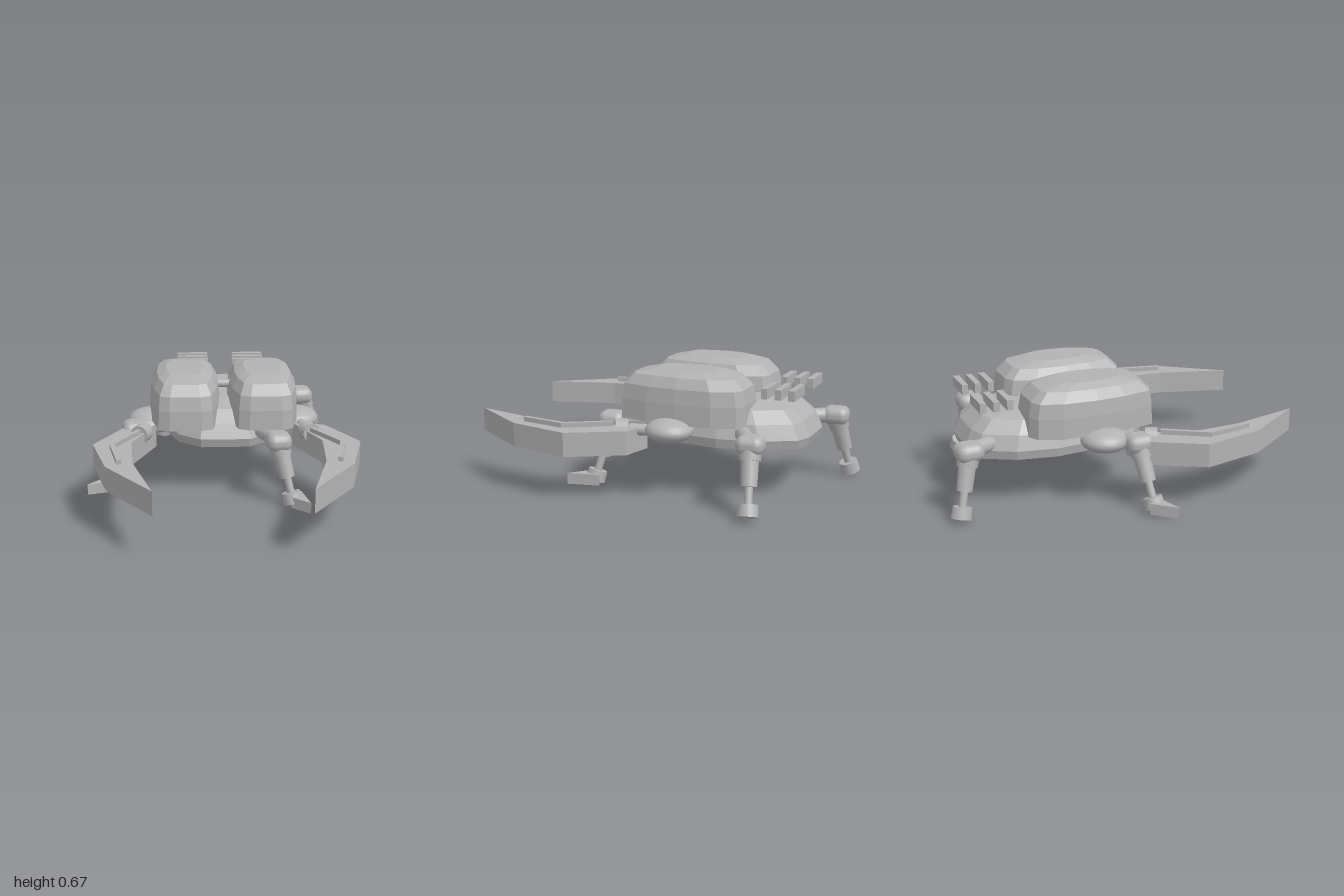
import * as THREE from 'three';
import { RoundedBoxGeometry } from 'three/addons/geometries/RoundedBoxGeometry.js';

const CX = 0.025; // symmetry plane of the hull
const grey = new THREE.MeshStandardMaterial({ color: 0xb2b2b2 });
grey.name = 'plain grey';

const V = (a) => new THREE.Vector3(...a);

function add(parent, name, geometry, x = 0, y = 0, z = 0) {
  const mesh = new THREE.Mesh(geometry, grey);
  mesh.name = name;
  mesh.position.set(x, y, z);
  parent.add(mesh);
  return mesh;
}

// Faceted shell: a mirrored half outline [x, z], stacked in rings [y, scaleX, scaleZ]
function shell(half, rings) {
  const outline = [...half, ...half.map(([x, z]) => [-x, z]).reverse()];
  const n = outline.length, pos = [], idx = [];
  for (const [y, sx, sz] of rings)
    for (const [x, z] of outline) pos.push(x * sx, y, z * sz);
  for (let i = 0; i < rings.length - 1; i++)
    for (let j = 0; j < n; j++) {
      const a = i * n + j, b = i * n + (j + 1) % n;
      idx.push(a, a + n, b + n, a, b + n, b);
    }
  const top = (rings.length - 1) * n;
  for (let j = 1; j < n - 1; j++) idx.push(0, j, j + 1, top, top + j + 1, top + j);
  const g = new THREE.BufferGeometry();
  g.setAttribute('position', new THREE.Float32BufferAttribute(pos, 3));
  g.setIndex(idx);
  const flat = g.toNonIndexed();
  flat.computeVertexNormals();
  return flat;
}

// Plate lying flat: outline [x, z], upper face at y = 0, thickness going down
function plate(points, depth, side = 1) {
  const shape = new THREE.Shape(points.map(([x, z]) => new THREE.Vector2(x * side, z)));
  return new THREE.ExtrudeGeometry(shape, { depth, bevelEnabled: false }).rotateX(Math.PI / 2);
}

// Cylinder from a to b
function rod(parent, name, a, b, r0, r1 = r0) {
  const d = b.clone().sub(a);
  const mesh = add(parent, name, new THREE.CylinderGeometry(r1, r0, d.length(), 20));
  mesh.position.copy(a).addScaledVector(d, 0.5);
  mesh.quaternion.setFromUnitVectors(new THREE.Vector3(0, 1, 0), d.normalize());
  return mesh;
}

function leg(parent, name, hip, knee, foot) {
  const g = new THREE.Group();
  g.name = name;
  const k = V(knee), f = V(foot), at = (t) => k.clone().lerp(f, t);
  rod(g, 'hip', V(hip), k, 0.042);
  const block = add(g, 'knee', new RoundedBoxGeometry(0.14, 0.1, 0.15, 2, 0.045), ...knee);
  block.rotation.y = 0.1;
  rod(g, 'kneeSocket', at(0.02), at(0.25), 0.062, 0.055);
  rod(g, 'shin', at(0.1), at(0.64), 0.048, 0.042);
  rod(g, 'piston', at(0.6), at(0.95), 0.021);
  rod(g, 'foot', at(0.9), at(1.09), 0.052, 0.056);
  parent.add(g);
}

export function createModel() {
  const model = new THREE.Group();
  model.name = 'beetleWalker';

  // Low hull
  const hullHalf = [[0.12, -0.475], [0.22, -0.44], [0.32, -0.25], [0.355, -0.03],
    [0.33, 0.2], [0.27, 0.37], [0.14, 0.475]];
  add(model, 'hull', shell(hullHalf, [[0.28, 0.97, 0.97], [0.33, 1, 1], [0.41, 0.93, 0.92],
    [0.475, 0.77, 0.77], [0.505, 0.48, 0.5]]), CX, 0, -0.375);

  // Wing-case pods
  const podHalf = [[0.09, -0.357], [0.15, -0.325], [0.195, -0.2], [0.203, 0],
    [0.188, 0.17], [0.15, 0.33], [0.09, 0.357]];
  const podRings = [[0.4, 1, 1], [0.51, 0.985, 0.99], [0.59, 0.94, 0.95],
    [0.645, 0.79, 0.8], [0.672, 0.53, 0.46]];

  // Claw and rib outlines
  const claw = [[0.39, -0.03], [0.565, 0.01], [0.725, 0.3], [0.64, 0.645],
    [0.395, 0.99], [0.5, 0.6], [0.52, 0.28], [0.435, 0.08]];
  const rib = [[0.47, 0.135], [0.492, 0.125], [0.632, 0.36], [0.584, 0.615],
    [0.558, 0.608], [0.605, 0.362]];

  for (const side of [-1, 1]) {
    const tag = side > 0 ? 'left' : 'right';
    add(model, tag + 'Pod', shell(podHalf, podRings), CX + side * 0.2225, 0, -0.2);

    // Vent slats above the rear
    for (const z of [-0.785, -0.712, -0.638])
      add(model, tag + 'Slat', new THREE.BoxGeometry(0.188, 0.055, 0.034),
        CX + side * 0.17, 0.573, z);

    // Shoulder, wrist and claw
    const ball = add(model, tag + 'Shoulder', new THREE.SphereGeometry(0.13, 24, 14),
      CX + side * 0.42, 0.37, -0.17);
    ball.scale.y = 0.5;
    const along = (x, z) => new THREE.Vector3(CX + side * x, 0.365, z);
    rod(model, tag + 'Arm', along(0.42, -0.15), along(0.46, 0.04), 0.032);
    rod(model, tag + 'Wrist', along(0.456, 0.05), along(0.482, 0.11), 0.052);
    add(model, tag + 'Claw', plate(claw, 0.13, side), CX, 0.38, 0);
    add(model, tag + 'ClawRib', plate(rib, 0.03, side), CX, 0.405, 0);
  }

  // Axle joining the pods
  rod(model, 'podAxle', V([-0.05, 0.572, -0.2]), V([0.1, 0.572, -0.2]), 0.024);

  // Legs caught mid-step: hip, knee, foot
  leg(model, 'rearRightLeg', [-0.17, 0.36, -0.7], [-0.27, 0.362, -0.88], [-0.337, 0.053, -0.95]);
  leg(model, 'rearLeftLeg', [0.3, 0.36, -0.52], [0.525, 0.362, -0.65], [0.652, 0.053, -0.685]);
  leg(model, 'frontRightLeg', [-0.25, 0.36, -0.12], [-0.485, 0.362, -0.015], [-0.605, 0.053, 0.028]);
  leg(model, 'frontLeftLeg', [0.2, 0.36, -0.02], [0.31, 0.362, 0.225], [0.385, 0.053, 0.295]);

  // Pointed toes on the front feet
  add(model, 'frontRightToe', plate([[-0.65, -0.015], [-0.755, 0.105], [-0.6, 0.06]], 0.062), 0, 0.073, 0);
  add(model, 'frontLeftToe', plate([[0.44, 0.25], [0.475, 0.43], [0.375, 0.34]], 0.062), 0, 0.073, 0);

  return model;
}
